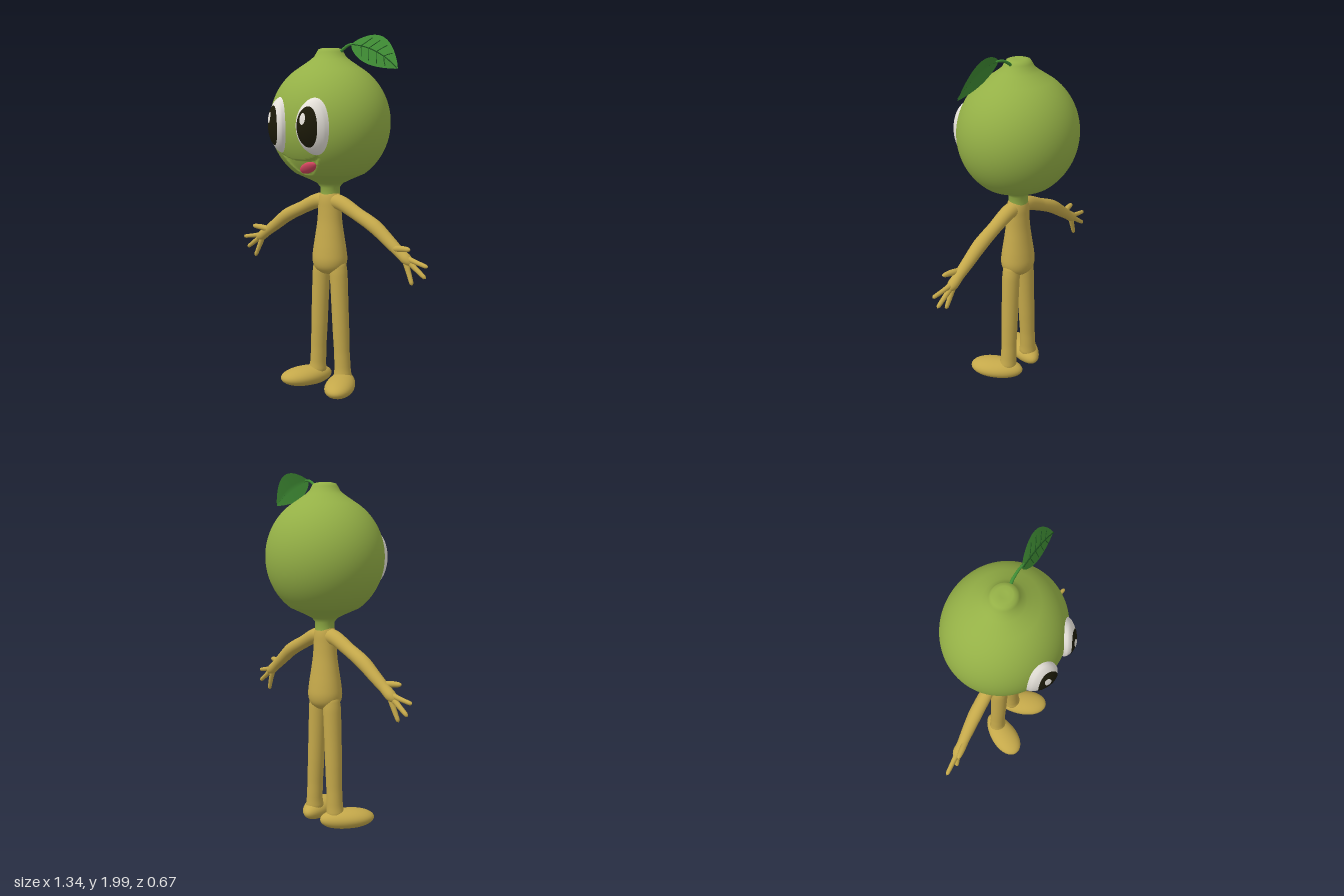
import * as THREE from 'three';
import { mergeVertices } from 'three/addons/utils/BufferGeometryUtils.js';

const mat = (name, color, side = THREE.FrontSide) => {
  const m = new THREE.MeshStandardMaterial({ color, side });
  m.name = name;
  return m;
};
const V = (a) => new THREE.Vector3(...a);

// Weld seams and compute smooth normals
function smooth(geo) {
  geo.deleteAttribute('uv');
  geo.deleteAttribute('normal');
  const g = mergeVertices(geo, 1e-5);
  g.computeVertexNormals();
  return g;
}

// Move every vertex by a rule
function warp(geo, rule) {
  const p = geo.attributes.position, v = new THREE.Vector3();
  for (let i = 0; i < p.count; i++) {
    v.fromBufferAttribute(p, i);
    rule(v);
    p.setXYZ(i, v.x, v.y, v.z);
  }
  return geo;
}

// Tapered tube with rounded ends; points are [x, y, z, radius]
function limb(points, segs = 32, sides = 20, round = 0.1) {
  const curve = new THREE.CatmullRomCurve3(points.map((p) => V(p.slice(0, 3))));
  const geo = new THREE.TubeGeometry(curve, segs, 1, sides);
  const p = geo.attributes.position, v = new THREE.Vector3();
  for (let i = 0; i <= segs; i++) {
    const t = i / segs, c = curve.getPointAt(t);
    const f = curve.getUtoTmapping(t) * (points.length - 1);
    const k = Math.min(Math.floor(f), points.length - 2);
    const end = Math.max(0, (Math.abs(t - 0.5) - 0.5 + round) / round);
    const r = THREE.MathUtils.lerp(points[k][3], points[k + 1][3], f - k) *
      Math.sqrt(Math.max(1e-4, 1 - end * end));
    for (let j = 0; j <= sides; j++) {
      const n = i * (sides + 1) + j;
      v.fromBufferAttribute(p, n).sub(c).multiplyScalar(r).add(c);
      p.setXYZ(n, v.x, v.y, v.z);
    }
  }
  return smooth(geo);
}

// Round part of the head, used by the head and everything on the face
const CY = 1.525, RX = 0.342, RY = 0.345, DEPTH = 0.936, CZ = -0.01;
const faceZ = (x, y) => CZ + DEPTH * RX *
  Math.sqrt(Math.max(0, 1 - ((y - CY) / RY) ** 2 - (x / RX) ** 2));

// How far the open smile sinks into the face
function mouthDepth(x, y) {
  const u = (x - 0.005) / 0.125;
  if (Math.abs(u) >= 1) return 0;
  const top = 1.33 + 0.03 * u * u, bottom = 1.36 - 0.115 * (1 - u * u);
  if (y > top || y < bottom) return 0;
  return 0.028 * Math.sqrt((y - bottom) / (top - bottom)) * (1 - u * u) ** 0.5;
}

function headGeometry() {
  const pts = [[0.056, 1.12], [0.056, 1.165], [0.075, 1.188], [0.12, 1.21]];
  for (let i = 0; i <= 90; i++) {
    const a = THREE.MathUtils.lerp(-0.947, 1.0, i / 90);
    pts.push([RX * Math.cos(a), CY + RY * Math.sin(a)]);
  }
  pts.push([0.142, 1.843], [0.112, 1.863], [0.088, 1.883], [0.076, 1.905],
    [0.065, 1.921], [0.045, 1.927], [0.02, 1.925], [0, 1.924]);
  const geo = new THREE.LatheGeometry(pts.map((p) => new THREE.Vector2(...p)), 192, Math.PI);
  return smooth(warp(geo, (v) => {
    v.z = v.z * DEPTH + CZ;
    if (v.z > 0) v.z -= mouthDepth(v.x, v.y);
  }));
}

export function createModel() {
  const root = new THREE.Group();
  root.name = 'fruitCharacter';
  const green = mat('limeGreen', 0x94b046);
  const tan = mat('mustard', 0xc4a84a);
  const white = mat('eyeWhite', 0xe6e2da);
  const black = mat('pupilBlack', 0x1c1a08);
  const pink = mat('tonguePink', 0xd2465f);
  const leafGreen = mat('leafGreen', 0x3f8c34, THREE.DoubleSide);
  const veinGreen = mat('veinGreen', 0x1d5220);
  const add = (name, geo, m, parent = root) => {
    const mesh = new THREE.Mesh(geo, m);
    mesh.name = name;
    parent.add(mesh);
    return mesh;
  };

  add('head', headGeometry(), green);

  // Domed eyes; pupil and glint are thin patches that follow the dome
  for (const cx of [-0.126, 0.122]) {
    const eye = new THREE.Group();
    eye.name = cx > 0 ? 'leftEye' : 'rightEye';
    root.add(eye);
    const cy = 1.516;
    const patch = (name, dx, dy, hw, hh, lift, m) => add(name, smooth(warp(
      new THREE.RingGeometry(0, 1, 48, 14), (v) => {
        v.x = cx + dx + v.x * hw;
        v.y = cy + dy + v.y * hh;
        const d2 = ((v.x - cx) / 0.084) ** 2 + ((v.y - cy) / 0.15) ** 2;
        v.z = faceZ(v.x, v.y) + 0.045 * Math.sqrt(Math.max(0, 1 - d2)) + lift;
      })), m, eye);
    patch('eyeWhite', 0, 0, 0.084, 0.15, -0.001, white);
    patch('pupil', -0.003, 0, 0.055, 0.106, 0.002, black);
    patch('glint', -0.018, 0.042, 0.016, 0.03, 0.005, white);
  }

  // Tongue sticking out to one side
  const tongue = add('tongue', new THREE.SphereGeometry(1, 32, 20), pink);
  tongue.scale.set(0.066, 0.031, 0.018);
  tongue.position.set(0.034, 1.292, 0.214);
  tongue.rotation.set(0.6, 0.08, 0.42);

  // Stem and leaf
  add('stem', limb([[0.05, 1.89, -0.015, 0.009], [0.09, 1.922, -0.017, 0.008],
    [0.13, 1.941, -0.014, 0.007], [0.18, 1.945, -0.008, 0.006]], 20, 10), leafGreen);
  const leafPoint = (s, w, lift = 0) => {
    const half = 0.076 * Math.sin(Math.PI * s ** 0.85) ** 0.85;
    const across = 0.028 * 4 * s * (1 - s) + w * half;
    return new THREE.Vector3(0.15 + 0.305 * s + 0.392 * across,
      1.943 - 0.13 * s + 0.92 * across,
      -0.005 - w * half * 0.38 - 0.12 * Math.abs(w) * half + lift);
  };
  add('leaf', smooth(warp(new THREE.PlaneGeometry(1, 2, 28, 12), (v) => {
    v.copy(leafPoint(Math.min(1, Math.max(0, v.x + 0.5)), v.y));
  })), leafGreen);
  const vein = (name, r, pts) => add(name,
    new THREE.TubeGeometry(new THREE.CatmullRomCurve3(pts), 12, r, 6), veinGreen);
  vein('midrib', 0.003, [0.02, 0.25, 0.5, 0.75, 0.98].map((s) => leafPoint(s, 0, 0.003)));
  for (const s of [0.2, 0.36, 0.52, 0.68]) {
    for (const w of [-1, 1]) {
      vein('sideVein', 0.002, [0, 0.35, 0.75].map((k) => leafPoint(s + 0.14 * k, w * k, 0.003)));
    }
  }

  // Torso: narrow shoulders widening to the hips
  const torso = new THREE.SplineCurve([[0, 0.665], [0.05, 0.675], [0.09, 0.705], [0.105, 0.75],
    [0.1, 0.81], [0.087, 0.89], [0.075, 0.97], [0.07, 1.04], [0.068, 1.09], [0.06, 1.125],
    [0.045, 1.142], [0, 1.146]].map((p) => new THREE.Vector2(...p)));
  const torsoPts = torso.getPoints(48).map((p) => p.setX(Math.max(0, p.x)));
  add('torso', smooth(warp(new THREE.LatheGeometry(torsoPts, 40), (v) => {
    v.z = v.z * 0.86 - 0.008;
  })), tan);

  // Limbs, mirrored
  for (const s of [1, -1]) {
    const side = s > 0 ? 'left' : 'right';
    const put = (name, pts, ...o) =>
      add(side + name, limb(pts.map(([x, y, z, r]) => [x * s, y, z, r]), ...o), tan);
    put('Arm', [[0, 1.09, -0.005, 0.045], [0.08, 1.082, -0.005, 0.042], [0.2, 1.03, -0.005, 0.037],
      [0.32, 0.973, -0.005, 0.039], [0.41, 0.91, -0.003, 0.034], [0.48, 0.86, 0, 0.029],
      [0.53, 0.825, 0, 0.03], [0.57, 0.8, 0.003, 0.016]], 48, 24, 0.05);
    // Thumb and three fingers
    put('Thumb', [[0.45, 0.872, 0.01, 0.018], [0.515, 0.882, 0.022, 0.017],
      [0.574, 0.886, 0.032, 0.012]], 20, 14, 0.2);
    const tips = [[0.672, 0.804, 0.012, 0.011], [0.653, 0.738, 0, 0.011], [0.577, 0.692, 0.012, 0.011]];
    const knuckles = [[0.585, 0.82, 0.004, 0.013], [0.585, 0.785, 0, 0.014], [0.545, 0.765, 0.004, 0.014]];
    tips.forEach((tip, i) => put('Finger',
      [[0.515, 0.835, 0, 0.018], knuckles[i], tip], 20, 14, 0.12));
    put('Leg', [[0.055, 0.76, -0.01, 0.045], [0.063, 0.68, -0.01, 0.051], [0.073, 0.5, -0.01, 0.049],
      [0.08, 0.36, -0.011, 0.048], [0.087, 0.22, -0.012, 0.045], [0.092, 0.12, -0.012, 0.047],
      [0.096, 0.05, -0.008, 0.056]], 48, 24, 0.04);
    // Rounded shoe shape with a flat sole, turned outward
    const foot = add(side + 'Foot', smooth(warp(new THREE.SphereGeometry(1, 36, 24), (v) => {
      const heel = 1 + 0.12 * Math.max(0, -v.z);
      v.set(v.x * (0.082 + 0.012 * v.z), Math.max(-0.046, v.y * 0.056 * heel), v.z * 0.158);
    })), tan);
    foot.position.set(0.128 * s, 0.046, 0.05);
    foot.rotation.y = 0.45 * s;
  }
  return root;
}
